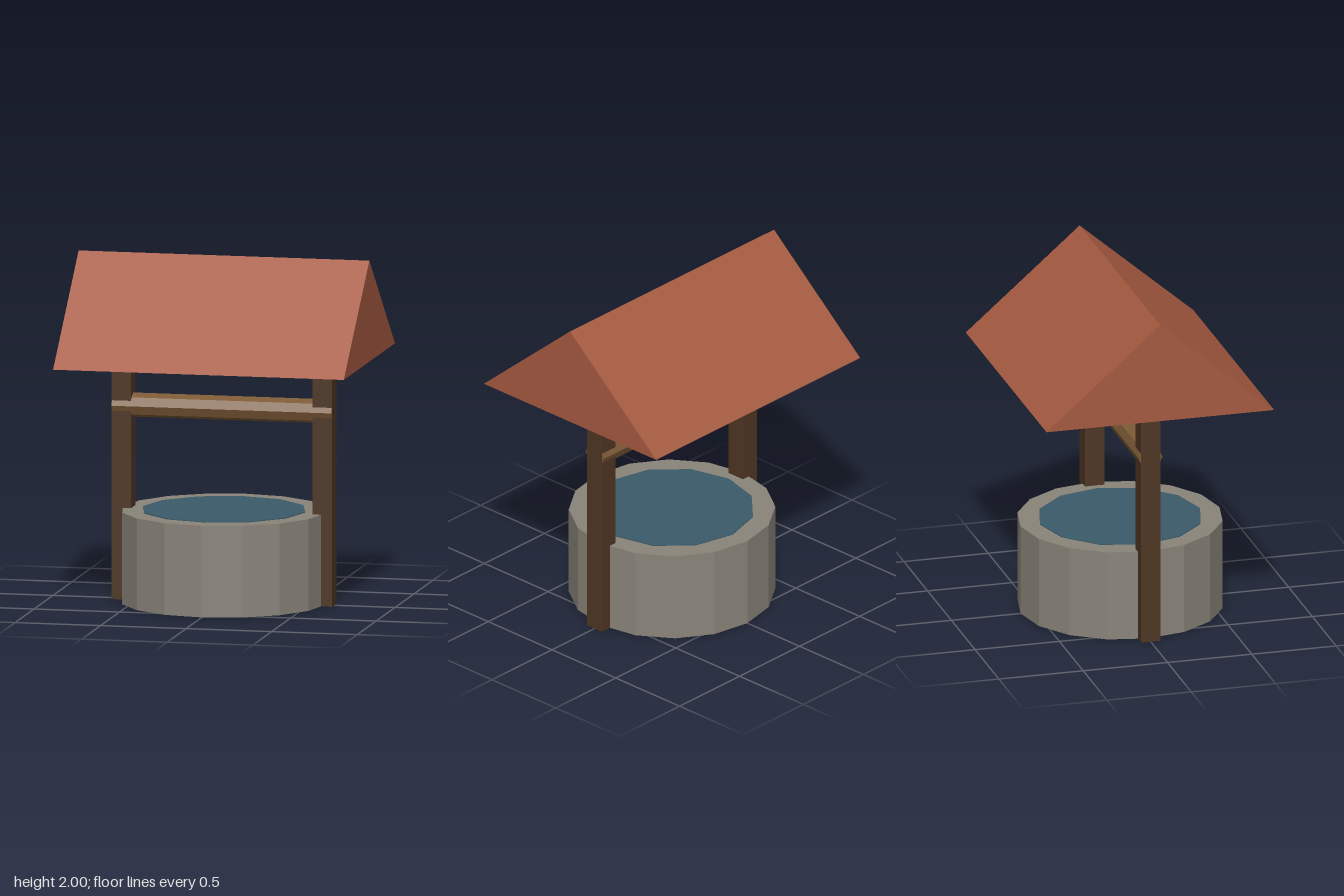
import * as THREE from 'three';

function mat(name, color) {
  const m = new THREE.MeshStandardMaterial({ color, flatShading: true });
  m.name = name;
  return m;
}

export function createModel() {
  const group = new THREE.Group();
  group.name = 'well';
  const stone = mat('stone', 0x8a847a);
  const water = mat('water', 0x3a5a68);
  const darkWood = mat('darkWood', 0x4e3624);
  const lightWood = mat('lightWood', 0x7d5a37);
  const roofTile = mat('roofTile', 0xa65a41);

  const add = (name, geometry, material, x = 0, y = 0, z = 0) => {
    const mesh = new THREE.Mesh(geometry, material);
    mesh.name = name;
    mesh.position.set(x, y, z);
    group.add(mesh);
    return mesh;
  };

  // Stone base with a thin disc of water on top
  add('stoneBase', new THREE.CylinderGeometry(0.59, 0.59, 0.53, 16), stone, 0, 0.265);
  add('waterSurface', new THREE.CylinderGeometry(0.475, 0.475, 0.008, 12), water, 0, 0.531);

  // Posts, running up into the roof
  for (const side of [-1, 1]) {
    add(side > 0 ? 'leftPost' : 'rightPost',
      new THREE.BoxGeometry(0.115, 1.46, 0.115), darkWood, side * 0.588, 0.73);
  }

  // Octagonal winding beam between the posts
  const beam = add('windingBeam', new THREE.CylinderGeometry(0.07, 0.07, 1.286, 8), lightWood, 0, 1.12);
  beam.rotation.z = Math.PI / 2;

  // Solid gable roof, extruded along x
  const gable = new THREE.Shape([
    new THREE.Vector2(-0.675, 1.416),
    new THREE.Vector2(0.675, 1.416),
    new THREE.Vector2(0, 2),
  ]);
  const roof = new THREE.ExtrudeGeometry(gable, { depth: 1.7, bevelEnabled: false });
  roof.translate(0, 0, -0.85).rotateY(Math.PI / 2);
  add('roof', roof, roofTile);

  return group;
}
